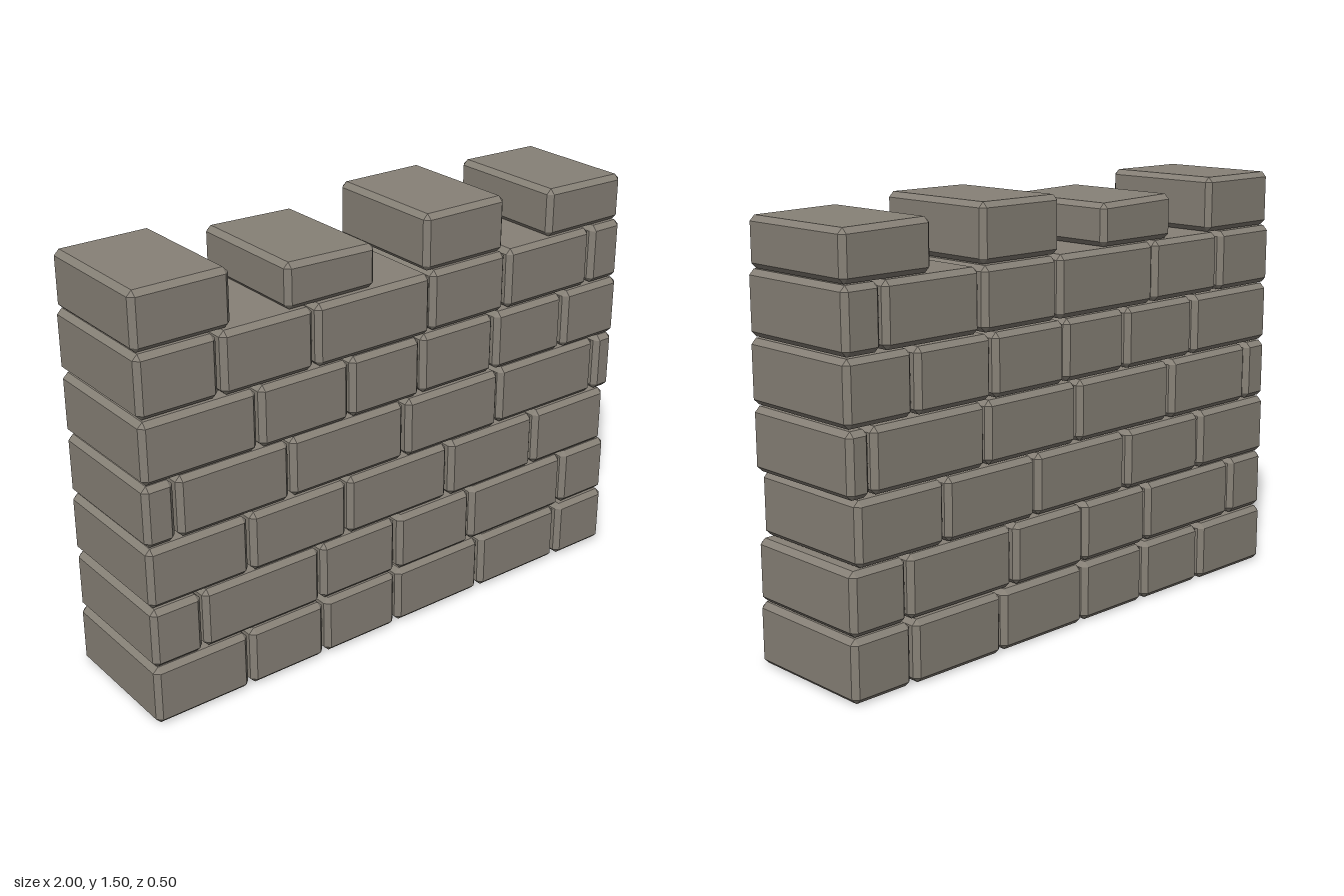
import * as THREE from 'three';
import { ConvexGeometry } from 'three/addons/geometries/ConvexGeometry.js';

const CHAMFER = 0.018;

// Small repeatable variation in [-1, 1]
function makeJitter(seed) {
  return () => {
    seed = (seed * 16807) % 2147483647;
    return (seed / 2147483647) * 2 - 1;
  };
}

// Block with chamfered edges and corners; slope lowers the top towards +x
function stoneGeometry(x0, x1, y0, y1, z0, z1, slope = 0) {
  const c = CHAMFER;
  const points = [];
  for (const sx of [-1, 1]) for (const sy of [-1, 1]) for (const sz of [-1, 1]) {
    const x = sx < 0 ? x0 : x1;
    const y = sy < 0 ? y0 : y1 - (sx > 0 ? slope : 0);
    const z = sz < 0 ? z0 : z1;
    points.push(
      new THREE.Vector3(x, y - sy * c, z - sz * c),
      new THREE.Vector3(x - sx * c, y, z - sz * c),
      new THREE.Vector3(x - sx * c, y - sy * c, z)
    );
  }
  return new ConvexGeometry(points);
}

export function createModel() {
  const wall = new THREE.Group();
  wall.name = 'battlementWall';
  const stone = new THREE.MeshStandardMaterial({ color: 0x878177, flatShading: true });
  const jitter = makeJitter(4711);

  const addStone = (parent, name, ...dims) => {
    const mesh = new THREE.Mesh(stoneGeometry(...dims), stone);
    mesh.name = name;
    parent.add(mesh);
  };

  // Courses: x of the joints between stones, from the bottom up
  const courses = [
    [-1, -0.636, -0.327, -0.013, 0.377, 0.762, 1],
    [-1, -0.81, -0.34, -0.013, 0.323, 0.777, 1],
    [-1, -0.621, -0.226, 0.217, 0.618, 0.975],
    [-1, -0.885, -0.455, 0.019, 0.441, 0.912, 1],
    [-1, -0.575, -0.217, 0.083, 0.412, 0.735, 1],
    [-1, -0.708, -0.354, 0.12, 0.457, 0.853, 1],
  ];
  const pitch = 0.218;
  const gap = 0.005;
  courses.forEach((joints, row) => {
    const course = new THREE.Group();
    course.name = `course${row + 1}`;
    const y0 = row * pitch;
    for (let i = 0; i < joints.length - 1; i++) {
      const left = i === 0 ? 0 : gap;
      const right = i === joints.length - 2 ? 0 : gap;
      addStone(course, 'wallStone', joints[i] + left, joints[i + 1] - right,
        y0, y0 + 0.213, -0.246 + 0.004 * jitter(), 0.244 + 0.004 * jitter());
    }
    wall.add(course);
  });

  // Merlons: x start, x end, top height, slope of the top
  const merlons = [
    [-1, -0.654, 1.5, 0],
    [-0.453, -0.105, 1.46, 0.008],
    [0.1, 0.445, 1.5, 0],
    [0.65, 0.997, 1.476, 0.006],
  ];
  for (const [x0, x1, top, slope] of merlons) {
    addStone(wall, 'merlon', x0, x1, 1.305, top, -0.235, 0.234, slope);
  }
  return wall;
}
